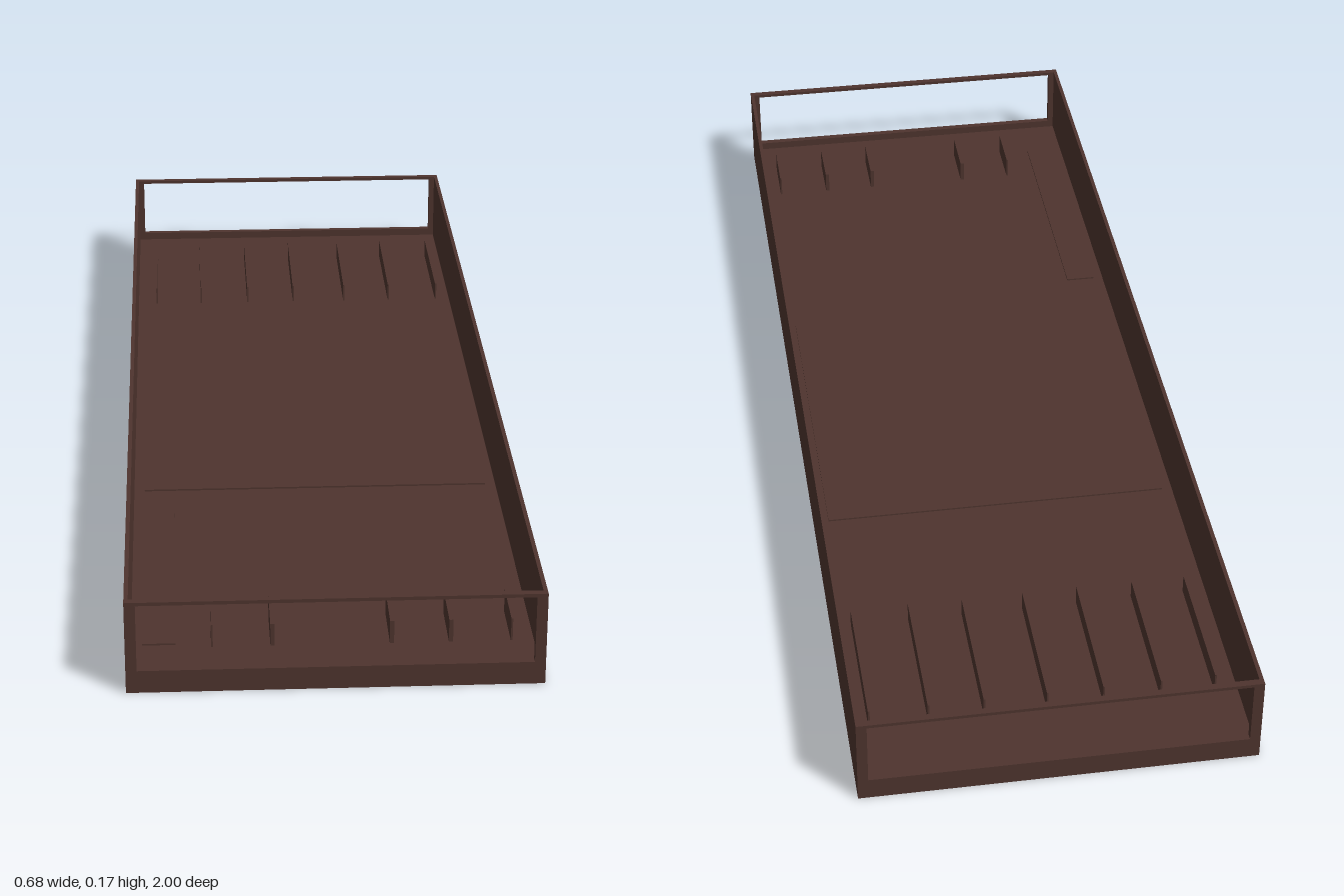
import * as THREE from 'three';

export function createModel() {
  const group = new THREE.Group();
  const material = new THREE.MeshStandardMaterial({ color: 0x4e342e });
  const W = 0.341, H = 0.165, FLOOR = 0.025, WALL = 0.007, FRAME = 0.012;

  // Box given by its lower and upper limits on each axis
  function box(name, x0, x1, y0, y1, z0, z1) {
    const mesh = new THREE.Mesh(new THREE.BoxGeometry(x1 - x0, y1 - y0, z1 - z0), material);
    mesh.position.set((x0 + x1) / 2, (y0 + y1) / 2, (z0 + z1) / 2);
    mesh.name = name;
    group.add(mesh);
  }

  // Tray floor and long side walls
  const inner = 1 - FRAME;
  box('floor', -W + WALL, W - WALL, 0, FLOOR, -inner, inner);
  box('leftWall', W - WALL, W, 0, H, -inner, inner);
  box('rightWall', -W, -W + WALL, 0, H, -inner, inner);

  // End frames, each with a wide window
  const outline = new THREE.Shape([
    new THREE.Vector2(-W, 0), new THREE.Vector2(W, 0),
    new THREE.Vector2(W, H), new THREE.Vector2(-W, H),
  ]);
  outline.holes.push(new THREE.Path([
    new THREE.Vector2(-0.323, 0.04), new THREE.Vector2(-0.323, 0.159),
    new THREE.Vector2(0.323, 0.159), new THREE.Vector2(0.323, 0.04),
  ]));
  const frameGeometry = new THREE.ExtrudeGeometry(outline, { depth: FRAME, bevelEnabled: false });
  for (const [name, z] of [['frontFrame', inner], ['backFrame', -1]]) {
    const frame = new THREE.Mesh(frameGeometry, material);
    frame.position.z = z;
    frame.name = name;
    group.add(frame);
  }

  // Thin raised plates on the floor
  box('middlePlate', -0.315, 0.315, FLOOR, FLOOR + 0.003, -0.313, 0.313);
  box('sidePlate', -0.315, -0.26, FLOOR, FLOOR + 0.003, 0.386, 0.89);

  // Long dividers at the back
  for (const x of [-0.295, -0.2, -0.1, -0.002, 0.107, 0.203, 0.305])
    box('backDivider', x - 0.0015, x + 0.0015, FLOOR, 0.06, -0.86, -0.6);

  // Short dividers at the front, some thicker
  for (const [x, t] of [[-0.2, 0.003], [-0.1, 0.007], [0.098, 0.007], [0.196, 0.007], [0.297, 0.003]])
    box('frontDivider', x - t / 2, x + t / 2, FLOOR, 0.066, 0.8, 0.9);

  return group;
}
